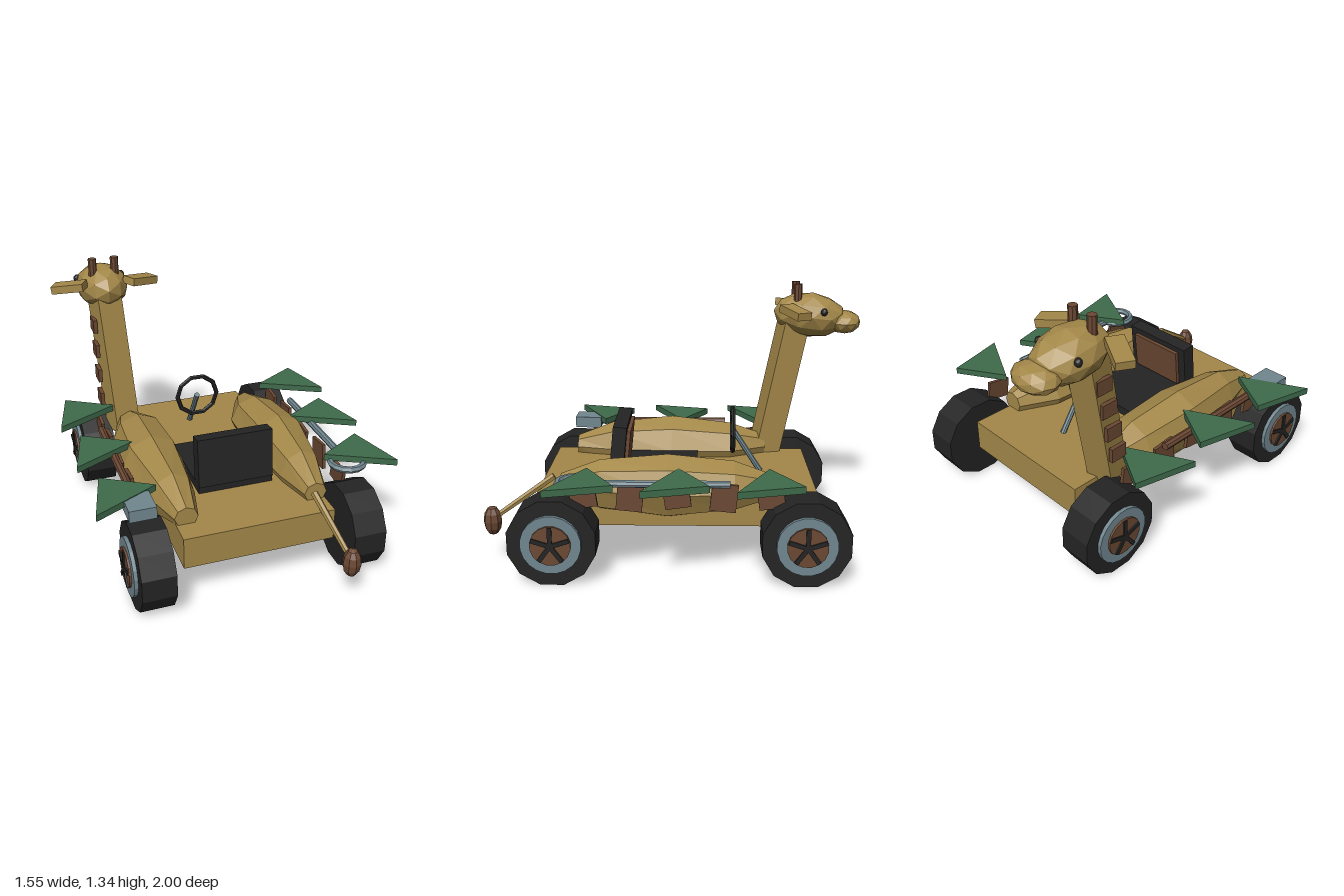
import * as THREE from 'three';

const mat = (name, color) => {
  const m = new THREE.MeshStandardMaterial({ color });
  m.name = name;
  return m;
};

export function createModel() {
  const root = new THREE.Group();
  root.name = 'giraffeCart';
  const tan = mat('tan', 0xa48849);
  const brown = mat('brown', 0x6b4833);
  const black = mat('black', 0x242424);
  const steel = mat('steel', 0x71878f);
  const green = mat('green', 0x3f6b4b);

  // Faceted mesh helper: unshared vertices give flat normals
  const add = (parent, name, geo, material, pos = [0, 0, 0], rot = [0, 0, 0]) => {
    const g = geo.index ? geo.toNonIndexed() : geo;
    g.computeVertexNormals();
    const m = new THREE.Mesh(g, material);
    m.name = name;
    m.position.set(...pos);
    m.rotation.set(...rot);
    parent.add(m);
    return m;
  };
  const box = (w, h, d) => new THREE.BoxGeometry(w, h, d);
  const blob = (rx, ry, rz) => new THREE.IcosahedronGeometry(1, 1).scale(rx, ry, rz);
  const rod = (name, a, b, r0, r1, material, sides = 8) => {
    const p = new THREE.Vector3(...a), q = new THREE.Vector3(...b);
    const dir = q.clone().sub(p);
    const m = add(root, name, new THREE.CylinderGeometry(r1, r0, dir.length(), sides), material);
    m.position.copy(p).add(q).multiplyScalar(0.5);
    m.quaternion.setFromUnitVectors(new THREE.Vector3(0, 1, 0), dir.normalize());
    return m;
  };

  // Chassis
  add(root, 'chassis', box(0.78, 0.166, 1.41), tan, [0, 0.3, 0.015]);

  // Side pods: octagonal sections [z, centre x, rx, ry] from rear to front
  const stations = [
    [-0.47, 0.36, 0.06, 0.06], [-0.27, 0.348, 0.143, 0.13], [0.06, 0.358, 0.163, 0.166],
    [0.4, 0.345, 0.112, 0.132], [0.6, 0.338, 0.06, 0.055],
  ];
  const makePod = (s) => {
    const g = new THREE.CylinderGeometry(1, 1, 1, 8, 4).rotateX(Math.PI / 2);
    const p = g.attributes.position;
    for (let i = 0; i < p.count; i++) {
      const [z, cx, rx, ry] = stations[Math.round((p.getZ(i) + 0.5) * 4)];
      p.setXYZ(i, s * cx + p.getX(i) * rx, 0.42 + p.getY(i) * ry, z);
    }
    return g;
  };

  // Wheel, outer face towards +x
  const makeWheel = (name, x, z, s) => {
    const w = new THREE.Group();
    w.name = name;
    w.position.set(x, 0.215, z);
    if (s < 0) w.rotation.y = Math.PI;
    const disc = (r, len, n) =>
      new THREE.CylinderGeometry(r, r, len, n).rotateY(Math.PI / n).rotateZ(-Math.PI / 2);
    add(w, 'tire', disc(0.222, 0.17, 12), black);
    add(w, 'rim', disc(0.148, 0.02, 20), steel, [0.094, 0, 0]);
    add(w, 'hub', disc(0.1, 0.03, 16), brown, [0.1, 0, 0]);
    for (let i = 0; i < 5; i++) {
      const a = (i * Math.PI * 2) / 5;
      add(w, 'spoke', box(0.014, 0.095, 0.022), black,
        [0.115, Math.cos(a) * 0.048, Math.sin(a) * 0.048], [a, 0, 0]);
    }
    root.add(w);
  };

  for (const s of [1, -1]) {
    const side = s > 0 ? 'left' : 'right';
    add(root, side + 'Pod', makePod(s), tan);
    makeWheel(side + 'FrontWheel', s * 0.54, 0.615, s);
    makeWheel(side + 'RearWheel', s * 0.54, -0.615, s);

    // Square spots along the pod
    for (let i = 0; i < 5; i++) {
      const big = i % 2;
      add(root, side + 'BodySpot', box(0.018, big ? 0.14 : 0.108, 0.128), brown,
        [s * 0.525, 0.42, 0.467 - i * 0.228], [big ? -0.1 : 0.14, 0, 0]);
    }

    // Flat triangular leaves
    const tri = new THREE.Shape([[0.445, 0], [0.695, -0.15], [0.775, 0.17]]
      .map(([x, z]) => new THREE.Vector2(s * x, z)));
    for (const z of [-0.44, 0.005, 0.455]) {
      add(root, side + 'Leaf',
        new THREE.ExtrudeGeometry(tri, { depth: 0.034, bevelEnabled: false }).rotateX(Math.PI / 2),
        green, [0, 0.541, z]);
    }
  }

  // Seat
  add(root, 'seatCushion', box(0.4, 0.045, 0.455), black, [0, 0.404, 0.14]);
  add(root, 'seatBack', box(0.4, 0.26, 0.072), black, [0, 0.545, 0.325], [-0.1, 0, 0]);
  add(root, 'seatPanel', box(0.31, 0.2, 0.02), brown, [0, 0.54, 0.28], [-0.1, 0, 0]);

  // Steering
  add(root, 'steeringWheel', new THREE.TorusGeometry(0.115, 0.013, 6, 10), black, [0, 0.612, -0.274]);
  rod('steeringColumn', [0, 0.612, -0.275], [0, 0.38, -0.425], 0.015, 0.015, steel);

  // Hoop on a pole, left side
  rod('hoopPole', [0.56, 0.5, -0.245], [0.56, 0.5, 0.42], 0.019, 0.019, steel);
  add(root, 'hoop', new THREE.TorusGeometry(0.085, 0.018, 6, 14).rotateX(Math.PI / 2), steel, [0.555, 0.503, 0.5]);

  // Mallet, right side
  rod('malletHandle', [-0.56, 0.5, -0.25], [-0.56, 0.5, 0.5], 0.021, 0.021, brown);
  add(root, 'malletHead', box(0.135, 0.062, 0.15), steel, [-0.558, 0.506, 0.563]);

  // Neck, leaning to the rear and turned slightly
  const neck = add(root, 'neck', box(0.142, 0.77, 0.142), tan, [-0.405, 0.75, -0.548]);
  neck.rotation.set(-0.21, 0.24, 0, 'YXZ');
  for (const y of [0.573, 0.706, 0.843, 0.98]) {
    add(root, 'neckSpot', box(0.022, 0.075, 0.09), brown, [-0.499, y, -0.548 - 0.21 * (y - 0.75)]);
  }

  // Head
  const head = new THREE.Group();
  head.name = 'head';
  head.position.set(-0.418, 0, 0);
  root.add(head);
  add(head, 'skull', blob(0.143, 0.125, 0.205), tan, [0, 1.165, -0.715], [-0.12, 0, 0]);
  add(head, 'muzzle', blob(0.125, 0.066, 0.096), tan, [0, 1.127, -0.904]);
  for (const s of [1, -1]) {
    add(head, 'eye', blob(0.019, 0.022, 0.019), black, [s * 0.127, 1.197, -0.778]);
    add(head, 'horn', new THREE.CylinderGeometry(0.023, 0.023, 0.17, 8), brown, [s * 0.061, 1.26, -0.638]);
    const ear = add(head, 'ear', box(0.18, 0.042, 0.088), tan, [s * 0.2, 1.208, -0.612]);
    ear.rotation.set(0, s * 0.5, s * -0.15, 'YXZ');
  }

  // Tail with tuft
  rod('tail', [0.31, 0.45, 0.64], [0.372, 0.255, 0.93], 0.019, 0.015, tan, 6);
  add(root, 'tailTuft', new THREE.SphereGeometry(1, 8, 6).scale(0.047, 0.078, 0.047), brown, [0.376, 0.233, 0.95]);

  return root;
}
